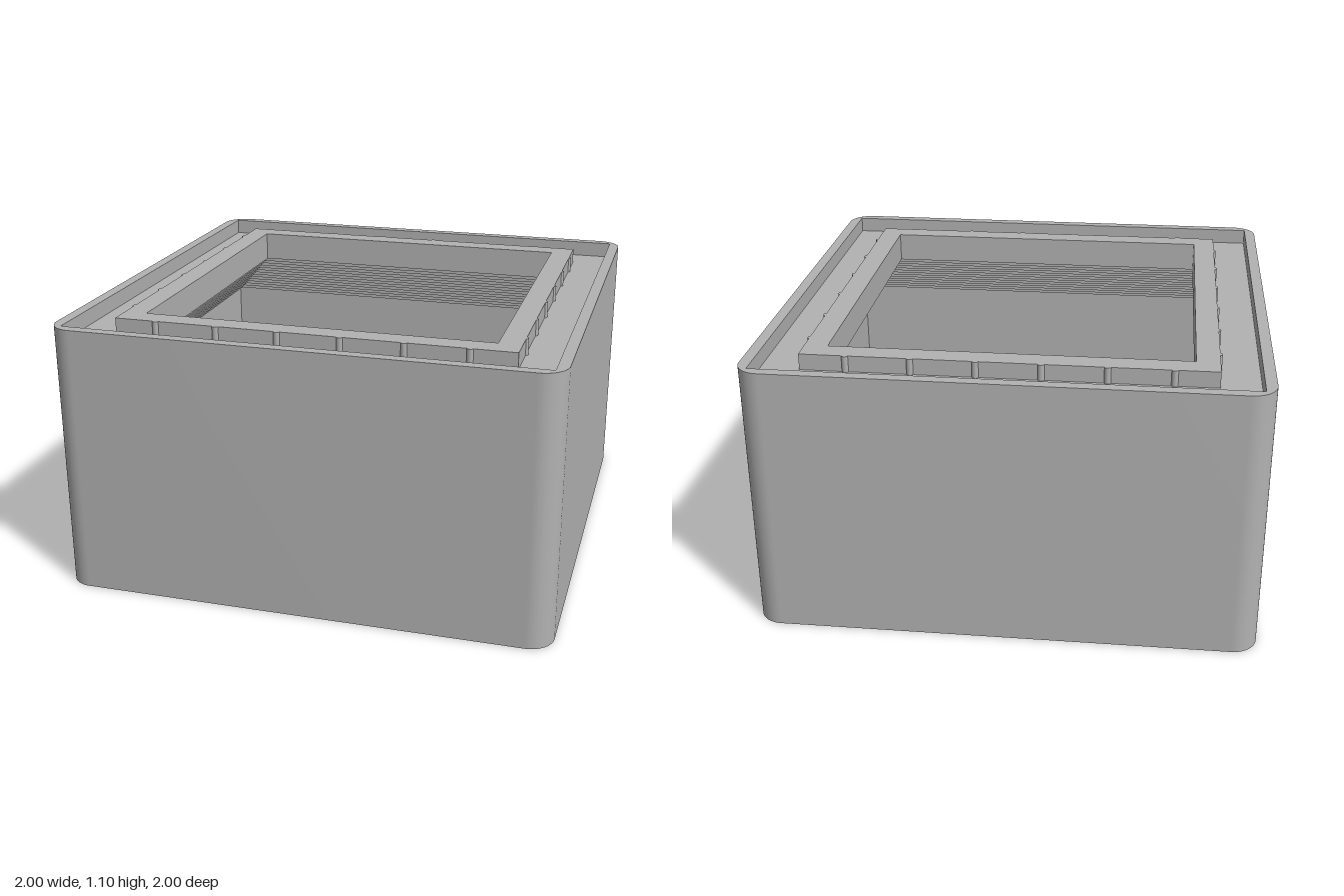
import * as THREE from 'three';
import { toCreasedNormals } from 'three/addons/utils/BufferGeometryUtils.js';

const grey = new THREE.MeshStandardMaterial({ color: 0xb2b2b2 });
grey.name = 'plain grey';

// Outline in plan; shape y becomes -z once laid flat
function rect(x0, x1, z0, z1, PathType = THREE.Shape) {
  return new PathType([[x0, -z1], [x1, -z1], [x1, -z0], [x0, -z0]].map(p => new THREE.Vector2(...p)));
}
const square = (a, PathType) => rect(-a, a, -a, a, PathType);
const circle = (x, z, r) => new THREE.Path().absarc(x, -z, r, 0, Math.PI * 2, true);

function roundedSquare(a, r) {
  const s = new THREE.Shape(), c = a - r;
  [[c, c], [-c, c], [-c, -c], [c, -c]].forEach(([x, y], i) =>
    s.absarc(x, y, r, i * Math.PI / 2, (i + 1) * Math.PI / 2, false));
  return s;
}

// Extrude a plan outline with holes from y0 up to y1
function slab(name, shape, holes, y0, y1) {
  shape.holes.push(...holes);
  let geo = new THREE.ExtrudeGeometry(shape, { depth: y1 - y0, bevelEnabled: false, curveSegments: 24 });
  geo.rotateX(-Math.PI / 2);
  geo.translate(0, y0, 0);
  geo = toCreasedNormals(geo, 0.6);
  const mesh = new THREE.Mesh(geo, grey);
  mesh.name = name;
  return mesh;
}

export function createModel() {
  const model = new THREE.Group();
  model.name = 'enclosure';
  const H = 1.1, WALL = 0.955, MOUTH = 0.708, COLLAR = 0.8;
  const LEDGE = 1.035, LIP = 0.975, FLOOR = 0.1;
  const slot = () => rect(0.32, 0.555, -0.385, 0.38, THREE.Path);

  // Outer wall with rounded corners, and the pierced floor inside it
  model.add(slab('outerWall', roundedSquare(1, 0.1), [square(WALL, THREE.Path)], 0, H));
  model.add(slab('floor', square(WALL),
    [circle(-0.565, -0.41, 0.195), circle(-0.565, 0.405, 0.195), circle(0.17, 0.28, 0.097), slot()], 0, FLOOR));

  // Raised frame around the slot
  model.add(slab('slotFrame', rect(0.257, 0.615, -0.45, 0.443), [slot()], FLOOR, 0.3));

  // Ledge, and the collar standing on it
  model.add(slab('ledge', square(WALL), [square(MOUTH, THREE.Path)], LIP, LEDGE));
  model.add(slab('collar', square(COLLAR), [square(MOUTH, THREE.Path)], LEDGE, H));

  // Stepped underside flaring from the mouth out to the wall
  const steps = new THREE.Group();
  steps.name = 'steppedUnderside';
  const N = 14, d = (WALL - MOUTH) / N;
  for (let i = 1; i < N; i++) {
    steps.add(slab('step', square(WALL), [square(MOUTH + i * d, THREE.Path)], LIP - i * d, LIP - (i - 1) * d));
  }
  model.add(steps);

  // Small grip ribs on the four sides of the collar
  const ribs = new THREE.Group();
  ribs.name = 'collarRibs';
  const ribGeo = new THREE.CylinderGeometry(0.014, 0.014, H - LEDGE, 16);
  for (let i = 0; i < 6; i++) {
    const t = -0.63 + i * 0.25;
    for (const s of [-1, 1]) {
      for (const [x, z] of [[t, s * (COLLAR - 0.005)], [s * (COLLAR - 0.005), t]]) {
        const rib = new THREE.Mesh(ribGeo, grey);
        rib.name = 'rib';
        rib.position.set(x, (H + LEDGE) / 2, z);
        ribs.add(rib);
      }
    }
  }
  model.add(ribs);
  return model;
}
